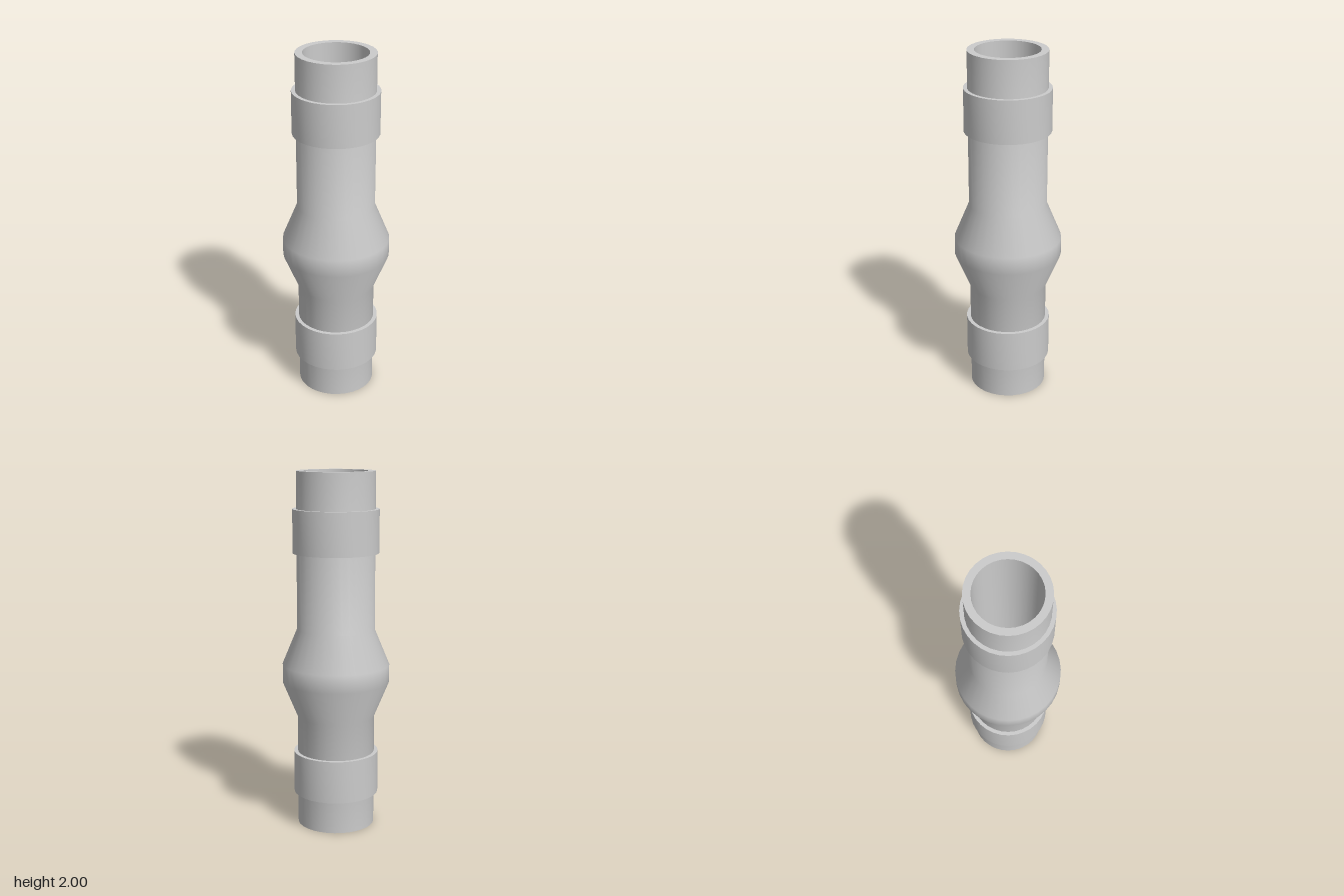
import * as THREE from 'three';
import { toCreasedNormals } from 'three/addons/utils/BufferGeometryUtils.js';

const SIDES = 32;
const BORE = 0.177, PIPE = 0.217, COLLAR = 0.239, BULGE = 0.3;

export function createModel() {
  const group = new THREE.Group();
  group.name = 'pipeFitting';
  const material = new THREE.MeshStandardMaterial({ color: 0xcccccc });

  // Closed [radius, height] profile turned about y; rims sharp, gentle bends smooth
  const addTurned = (name, profile) => {
    const points = profile.map(([r, y]) => new THREE.Vector2(r, y));
    const geometry = toCreasedNormals(new THREE.LatheGeometry(points, SIDES), 0.7);
    const mesh = new THREE.Mesh(geometry, material);
    mesh.name = name;
    group.add(mesh);
  };

  // Hollow pipe with a swelling around the middle and a straight bore
  addTurned('pipeBody', [
    [BORE, 0], [PIPE, 0], [PIPE, 0.63], [BULGE, 0.83], [BULGE, 0.93],
    [PIPE, 1.13], [PIPE, 2], [BORE, 2], [BORE, 0],
  ]);

  // Two raised collars
  for (const [name, y] of [['lowerCollar', 0.185], ['upperCollar', 1.555]]) {
    const top = y + 0.24, inner = PIPE - 0.01;
    addTurned(name, [[inner, y], [COLLAR, y], [COLLAR, top], [inner, top]]);
  }

  return group;
}
